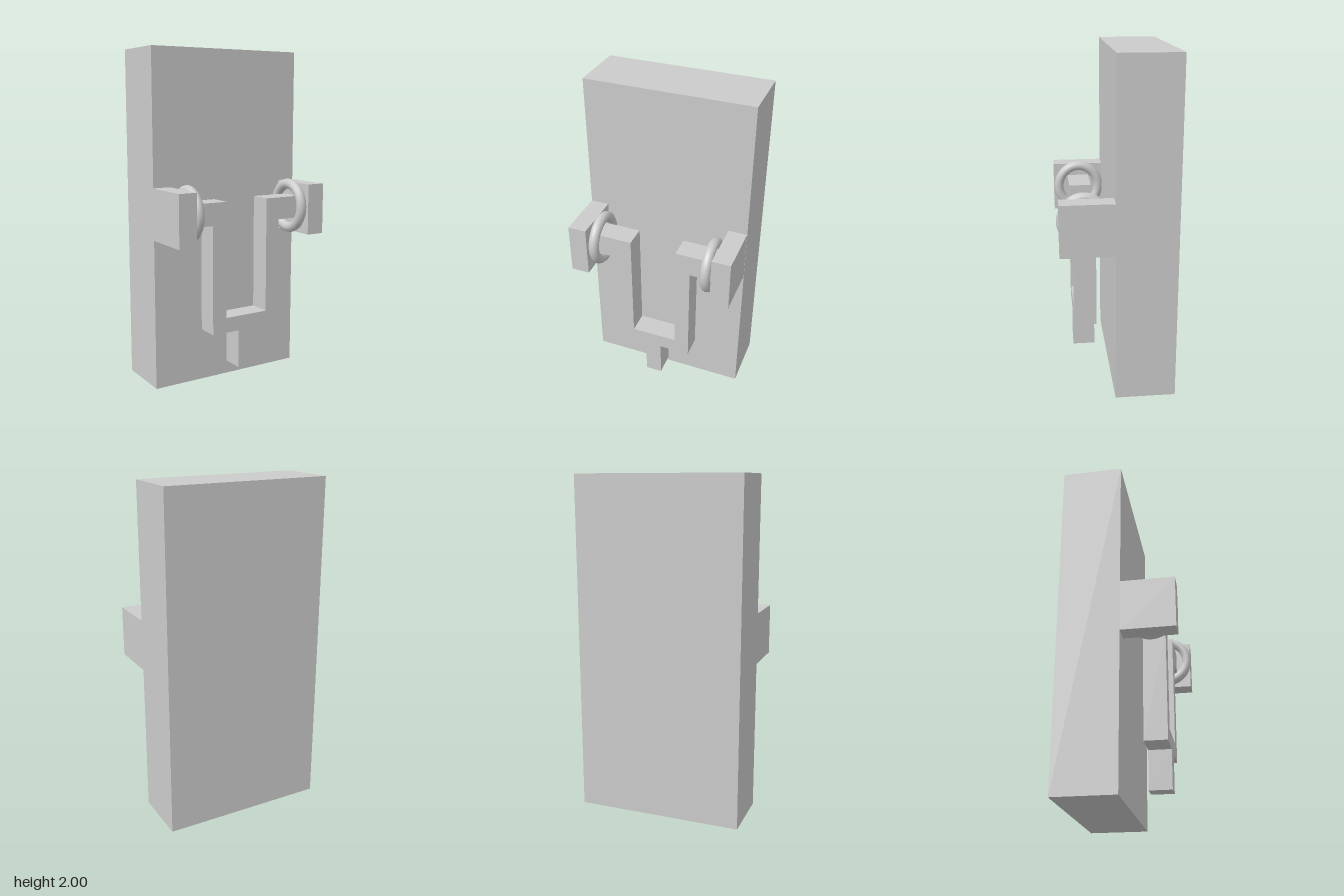
import * as THREE from 'three';

export function createModel() {
  const model = new THREE.Group();
  const material = new THREE.MeshStandardMaterial({ color: 0xcccccc });

  const add = (name, geometry, x = 0, y = 0, z = 0) => {
    const mesh = new THREE.Mesh(geometry, material);
    mesh.name = name;
    mesh.position.set(x, y, z);
    model.add(mesh);
    return mesh;
  };

  // Upright slab
  add('backPanel', new THREE.BoxGeometry(0.99, 2, 0.355), 0, 1, -0.162);

  // Brackets on both edges of the slab
  add('leftBracket', new THREE.BoxGeometry(0.112, 0.305, 0.31), 0.438, 1.052, 0.17);
  add('rightBracket', new THREE.BoxGeometry(0.11, 0.305, 0.31), -0.44, 1.052, 0.17);

  // Hanging U-shaped handle with side arms and a short stem
  const outline = [
    [-0.385, 0.995], [-0.232, 0.995], [-0.232, 0.35], [-0.057, 0.35],
    [-0.057, 0.12], [0.043, 0.12], [0.043, 0.35], [0.228, 0.35],
    [0.228, 0.995], [0.383, 0.995], [0.383, 1.128], [0.138, 1.128],
    [0.138, 0.44], [-0.141, 0.44], [-0.141, 1.128], [-0.385, 1.128],
  ].map(([x, y]) => new THREE.Vector2(x, y));
  add('handle', new THREE.ExtrudeGeometry(new THREE.Shape(outline), {
    depth: 0.134, bevelEnabled: false,
  }), 0, 0, 0.103);

  // Slightly oval rings around the handle arms
  const ring = new THREE.TorusGeometry(0.134, 0.031, 12, 48);
  ring.rotateY(Math.PI / 2);
  ring.scale(1, 1, 0.945);
  add('leftRing', ring, 0.343, 1.065, 0.181);
  add('rightRing', ring, -0.354, 1.065, 0.168);

  return model;
}
